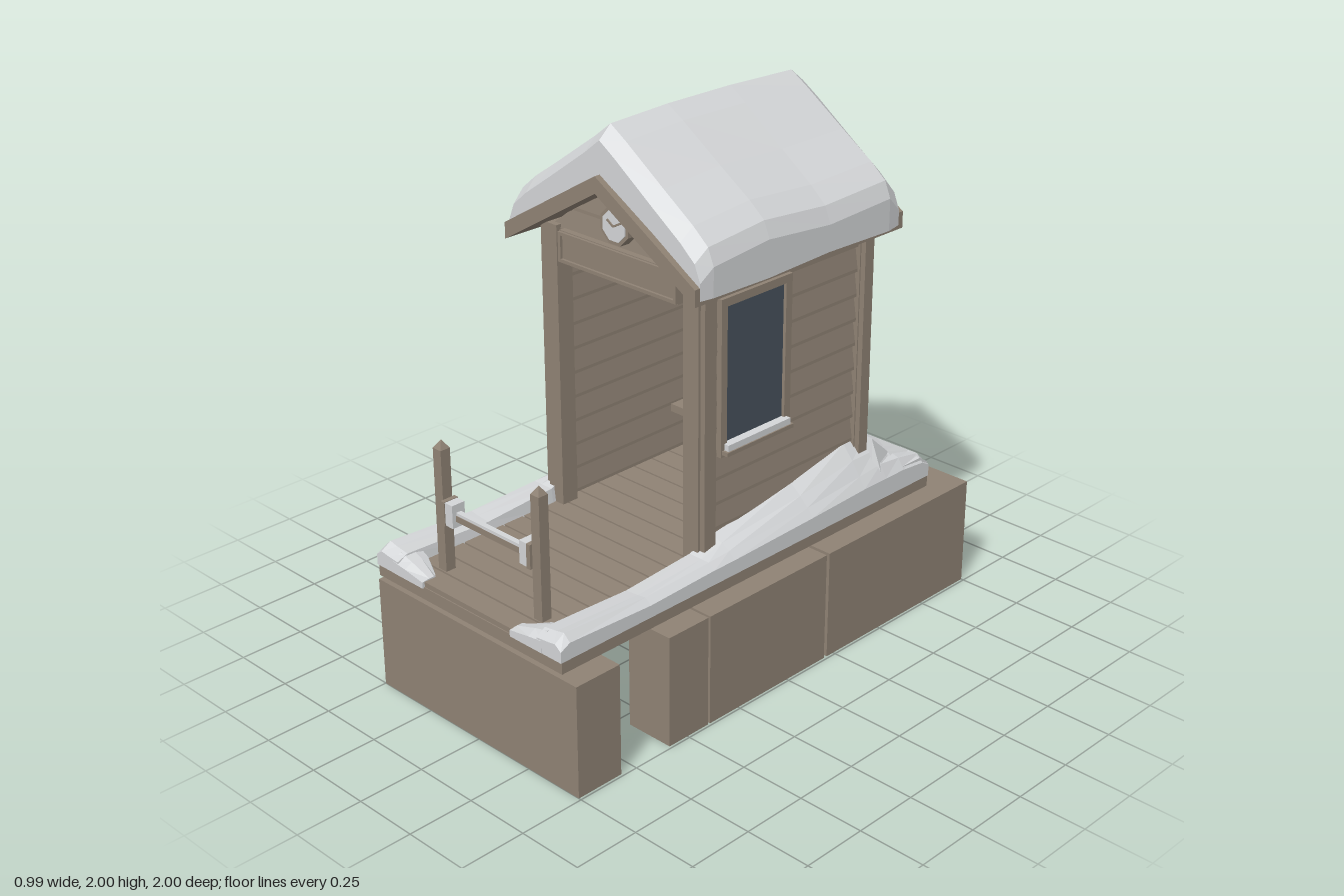
import * as THREE from 'three';

const mat = (name, color, side = THREE.FrontSide) => {
  const m = new THREE.MeshStandardMaterial({ color, flatShading: true, side });
  m.name = name;
  return m;
};

export function createModel() {
  const model = new THREE.Group();
  model.name = 'snowyShelter';
  const wood = mat('weatheredWood', 0x8f8274);
  const snow = mat('snow', 0xd3d5d7, THREE.DoubleSide);
  const glass = mat('darkGlass', 0x47525d);
  const CX = -0.04; // centre line of the shelter

  const add = (name, geo, m = wood, parent = model) => {
    const mesh = new THREE.Mesh(geo, m);
    mesh.name = name;
    parent.add(mesh);
    return mesh;
  };
  // Box given by its limits on each axis
  const box = (name, x0, x1, y0, y1, z0, z1, m = wood, parent = model) => {
    const mesh = add(name, new THREE.BoxGeometry(x1 - x0, y1 - y0, z1 - z0), m, parent);
    mesh.position.set((x0 + x1) / 2, (y0 + y1) / 2, (z0 + z1) / 2);
    return mesh;
  };
  // Solid skin over matching closed sections, with strip caps at both ends
  const loft = (sections) => {
    const pos = [], n = sections[0].length;
    const quad = (a, b, c, d) => pos.push(...a, ...b, ...c, ...a, ...c, ...d);
    for (let s = 0; s < sections.length - 1; s++)
      for (let i = 0; i < n; i++) {
        const j = (i + 1) % n;
        quad(sections[s][i], sections[s][j], sections[s + 1][j], sections[s + 1][i]);
      }
    const first = sections[0], last = sections[sections.length - 1];
    for (let i = 0; i < n / 2 - 1; i++) {
      quad(first[i], first[n - 1 - i], first[n - 2 - i], first[i + 1]);
      quad(last[i], last[i + 1], last[n - 2 - i], last[n - 1 - i]);
    }
    // Turn the faces outwards
    let volume = 0;
    const [a, b, c] = [0, 1, 2].map(() => new THREE.Vector3());
    for (let i = 0; i < pos.length; i += 9) {
      a.fromArray(pos, i); b.fromArray(pos, i + 3); c.fromArray(pos, i + 6);
      volume += a.dot(b.cross(c));
    }
    if (volume < 0)
      for (let i = 0; i < pos.length; i += 9)
        for (let k = 0; k < 3; k++) [pos[i + 3 + k], pos[i + 6 + k]] = [pos[i + 6 + k], pos[i + 3 + k]];
    const g = new THREE.BufferGeometry();
    g.setAttribute('position', new THREE.Float32BufferAttribute(pos, 3));
    g.computeVertexNormals();
    return g;
  };

  // Foundation blocks
  [
    [-0.5, 0.49, 0.81, 1], [-0.5, -0.31, -1, 0.585], [-0.3, 0.49, -1, -0.215],
    [0.3, 0.49, -0.2, 0.39], [0.3, 0.49, 0.4, 0.585],
  ].forEach(([x0, x1, z0, z1]) => box('foundationBlock', x0, x1, 0, 0.418, z0, z1));
  for (const x of [-0.41, 0.33])
    for (const z of [0.9, 0.08, -0.74]) box('deckFoot', x - 0.03, x + 0.03, 0.415, 0.435, z - 0.03, z + 0.03);

  // Deck and its planks
  box('deckFrame', -0.5, 0.42, 0.432, 0.478, -0.845, 0.995);
  for (let i = 0; i < 20; i++) {
    const z = -0.845 + i * 0.092;
    box('deckPlank', -0.48, 0.4, 0.475, 0.497, z + 0.004, z + 0.088);
  }

  // Clapboard: a trapezoid board, thicker at its lower edge on both faces
  const clapboard = (h0, h1, y0, y1, parent) => {
    const sec = (y, h, t) => [[-h, y, t], [h, y, t], [h, y, -t], [-h, y, -t]];
    add('clapboard', loft([sec(y0, h0, 0.02), sec(y0 + 0.012, h0, 0.02), sec(y1, h1, 0.007)]), wood, parent);
  };
  const PITCH = 0.093, BASE = 0.51;
  const gableHalf = (y) => Math.max(0.002, Math.min(0.35, (1.775 - y) / 0.6));
  const wall = (name, from, to, half) => {
    const g = new THREE.Group();
    g.name = name;
    for (let i = from; i < to; i++) {
      const y = BASE + i * PITCH, top = Math.min(y + PITCH, 1.775);
      clapboard(half(y), half(top), y, top, g);
    }
    model.add(g);
    return g;
  };
  wall('backWall', 0, 14, gableHalf).position.set(CX, 0, -0.535);
  wall('frontGable', 10, 14, gableHalf).position.set(CX, 0, 0.245);
  for (const s of [-1, 1]) {
    const side = wall('sideWall', 0, 11, () => 0.39);
    side.rotation.y = Math.PI / 2;
    side.position.set(CX + s * 0.34, 0, -0.145);
  }

  // Corner posts and roof boards
  for (const s of [-1, 1]) {
    const post = (name, u0, u1, y0, z0, z1) =>
      box(name, Math.min(CX + s * u0, CX + s * u1), Math.max(CX + s * u0, CX + s * u1), y0, 1.56, z0, z1);
    post('frontCornerPost', 0.3, 0.37, 0.49, 0.215, 0.285);
    post('frontCornerTrim', 0.365, 0.39, 0.49, 0.22, 0.275);
    post('backCornerPost', 0.31, 0.37, 0.49, -0.58, -0.52);
    post('backCornerTrim', 0.365, 0.39, 0.58, -0.57, -0.525);
    const roofSection = (z) => [[CX, 1.83, z], [CX + s * 0.45, 1.56, z], [CX + s * 0.45, 1.5, z], [CX, 1.77, z]];
    add('roofBoard', loft([roofSection(0.385), roofSection(-0.645)]));
  }

  // Blank board over the entrance with a raised rim
  box('entranceBoard', -0.32, 0.24, 1.435, 1.55, 0.26, 0.288);
  for (const y of [1.438, 1.535]) box('boardRim', -0.32, 0.24, y, y + 0.012, 0.285, 0.298);
  for (const x of [-0.32, 0.228]) box('boardRim', x, x + 0.012, 1.438, 1.547, 0.285, 0.298);

  // Clock
  const clock = new THREE.Group();
  clock.name = 'clock';
  const disc = (name, r, d, z, m) => {
    const mesh = add(name, new THREE.CylinderGeometry(r, r, d, 8).rotateY(Math.PI / 8).rotateX(Math.PI / 2), m, clock);
    mesh.position.z = z;
  };
  disc('clockCase', 0.07, 0.04, 0, wood);
  disc('clockFace', 0.056, 0.006, 0.021, snow);
  for (const [len, angle] of [[0.045, 0.5], [0.034, 2.55]]) {
    const hand = add('clockHand', new THREE.BoxGeometry(len, 0.007, 0.004).translate(len / 2, 0, 0), wood, clock);
    hand.rotation.z = angle;
    hand.position.z = 0.026;
  }
  clock.position.set(CX, 1.637, 0.28);
  model.add(clock);

  // Window on the left wall
  box('windowPane', 0.322, 0.328, 0.92, 1.42, -0.13, 0.16, glass);
  box('windowPaneInside', 0.275, 0.28, 0.92, 1.42, -0.13, 0.16, glass);
  for (const [z0, z1] of [[-0.158, -0.128], [0.158, 0.186]]) box('windowJamb', 0.3, 0.34, 0.88, 1.45, z0, z1);
  for (const [y0, y1] of [[0.88, 0.922], [1.42, 1.45]]) box('windowRail', 0.3, 0.34, y0, y1, -0.158, 0.186);
  box('windowSill', 0.3, 0.365, 0.89, 0.905, -0.15, 0.18);
  box('sillSnow', 0.325, 0.36, 0.905, 0.928, -0.14, 0.17, snow);

  // Bench along the back wall
  for (let i = 0; i < 3; i++) box('benchSlat', -0.33, 0.25, 0.69, 0.72, -0.505 + i * 0.085, -0.425 + i * 0.085);
  for (const x of [-0.28, 0.16]) box('benchLeg', x, x + 0.04, 0.49, 0.69, -0.36, -0.31);

  // Entrance barrier
  for (const s of [-1, 1]) {
    const x = CX + s * 0.24;
    box('barrierPost', x - 0.02, x + 0.02, 0.49, 0.95, 0.855, 0.895);
    const tip = add('postTip', new THREE.ConeGeometry(0.0283, 0.03, 4).rotateY(Math.PI / 4));
    tip.position.set(x, 0.965, 0.875);
    const p = CX + s * 0.212, g = CX + s * 0.19;
    box('bracketPlate', p - 0.009, p + 0.009, 0.68, 0.77, 0.845, 0.905);
    box('barrierBracket', g - 0.024, g + 0.024, 0.683, 0.768, 0.848, 0.902, snow);
  }
  box('barrierBar', -0.22, 0.14, 0.705, 0.727, 0.863, 0.887);
  box('barSnow', -0.22, 0.14, 0.727, 0.738, 0.865, 0.885, snow);

  // Roof snow: softened ends and a slightly uneven crest
  const half = [[0.07, 1.955], [0.24, 1.835], [0.37, 1.745], [0.435, 1.69], [0.46, 1.63], [0.46, 1.515]];
  const under = [[0.44, 1.51], [0.43, 1.57], [0.36, 1.615], [0.24, 1.69], [0.12, 1.76], [0.06, 1.795]];
  const roofSnow = (z, drop, inset, wave) => {
    const top = [...half].reverse().map(([u, y]) => [-u, y - 0.01]).concat([[0, 2]], half)
      .map(([u, y]) => [CX + u * (1 - inset), y - drop + wave * Math.abs(u), z]);
    const low = under.concat([[0, 1.82]], [...under].reverse().map(([u, y]) => [-u, y]))
      .map(([u, y]) => [CX + u, y, z]);
    // Keep the eave edge hanging below the roof boards
    for (const i of [0, top.length - 1]) top[i][1] = 1.515 - wave * 0.15;
    return [...top, ...low];
  };
  add('roofSnow', loft([
    roofSnow(0.362, 0.055, 0.02, 0), roofSnow(0.31, 0.01, 0, 0), roofSnow(0.05, 0, 0, 0.03),
    roofSnow(-0.25, 0, 0, -0.03), roofSnow(-0.56, 0.01, 0, 0.02), roofSnow(-0.622, 0.06, 0.02, 0),
  ]), snow);

  // Snow along both deck edges: z, outer, shoulder and inner heights, inner distance
  const edge = [
    [1, 0.515, 0.535, 0.525, 0.34], [0.96, 0.535, 0.56, 0.545, 0.335], [0.6, 0.52, 0.54, 0.53, 0.335],
    [0.3, 0.53, 0.55, 0.55, 0.335], [0.2, 0.53, 0.555, 0.59, 0.345], [-0.2, 0.54, 0.57, 0.64, 0.345],
    [-0.48, 0.55, 0.59, 0.695, 0.345], [-0.6, 0.55, 0.6, 0.685, 0.345], [-0.7, 0.55, 0.59, 0.61, 0.345],
    [-0.81, 0.54, 0.57, 0.57, 0.345], [-0.848, 0.52, 0.53, 0.53, 0.345],
  ];
  for (const s of [-1, 1]) {
    add('deckEdgeSnow', loft(edge.map(([z, o, sh, inn, u]) => [
      [0.462, 0.475], [0.462, o], [0.435, sh], [0.4, (sh + inn) / 2], [u + 0.01, inn], [u, 0.475],
    ].map(([d, y]) => [CX + s * d, y, z]))), snow);
    // Drift tapering in across the front corner
    add('frontCornerSnow', loft([[0.37, 0.545, 0.88], [0.31, 0.53, 0.89], [0.22, 0.502, 0.93]].map(([u, y, z]) => [
      [0.475, 1.001], [(y + 0.475) / 2 + 0.01, 1.001], [y, 0.97], [y, (z + 0.97) / 2], [y - 0.008, z + 0.01], [0.475, z],
    ].map(([h, d]) => [CX + s * u, h, d]))), snow);
  }

  // Drift against the back wall
  const drift = [[-0.848, 0.475], [-0.848, 0.53], [-0.8, 0.575], [-0.68, 0.615], [-0.585, 0.7], [-0.54, 0.475]];
  add('backDrift', loft([-0.455, -0.4, -0.2, 0.05, 0.25, 0.4, 0.455].map((u, i) =>
    drift.map(([z, y]) => [CX + u, i % 6 ? y + (y > 0.6 ? 0.008 * Math.sin(i * 2) : 0) : Math.min(y, 0.56), z]))), snow);

  return model;
}
